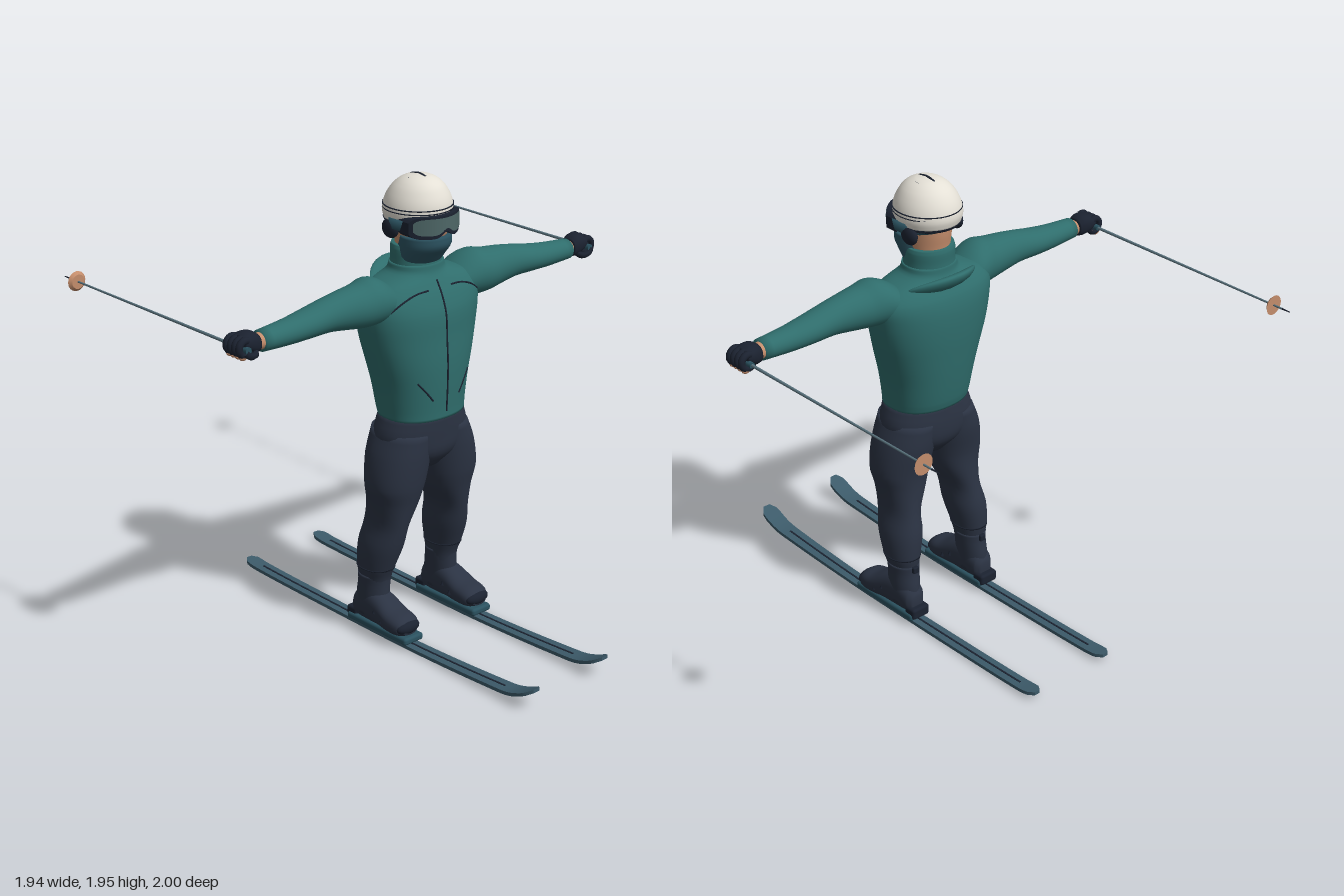
import * as THREE from 'three';
import { RoundedBoxGeometry } from 'three/addons/geometries/RoundedBoxGeometry.js';

const mat = (name, color, side = THREE.FrontSide) => {
  const m = new THREE.MeshStandardMaterial({ color, side });
  m.name = name;
  return m;
};

// Smoothly interpolated cross-section [centreU, centreV, radiusU, radiusV] at t
function sample(rows, t) {
  let i = 0;
  while (i < rows.length - 2 && t > rows[i + 1][0]) i++;
  const a = rows[i], b = rows[i + 1], p = rows[i - 1] || a, q = rows[i + 2] || b;
  const h = b[0] - a[0], f = (t - a[0]) / h, f2 = f * f, f3 = f2 * f;
  return [1, 2, 3, 4].map(k => {
    const ma = (b[k] - p[k]) / (b[0] - p[0]) * h, mb = (q[k] - a[k]) / (q[0] - a[0]) * h;
    return (2 * f3 - 3 * f2 + 1) * a[k] + (f3 - 2 * f2 + f) * ma + (3 * f2 - 2 * f3) * b[k] + (f3 - f2) * mb;
  });
}

const sgnPow = (v, e) => Math.sign(v) * Math.abs(v) ** e;

// Closed loft along an axis; u and v follow it cyclically (y: z,x  x: y,z  z: x,y)
function loft(axis, rows, n = 2, seg = 32, sub = 4) {
  const pos = [], idx = [], A = 'xyz'.indexOf(axis);
  const put = (t, u, v) => {
    const p = [0, 0, 0];
    p[A] = t; p[(A + 1) % 3] = u; p[(A + 2) % 3] = v;
    pos.push(...p);
  };
  const N = (rows.length - 1) * sub;
  for (let i = 0; i <= N; i++) {
    const r = Math.min(Math.floor(i / sub), rows.length - 2), f = i / sub - r;
    const t = rows[r][0] + (rows[r + 1][0] - rows[r][0]) * f;
    const [cu, cv, ru, rv] = sample(rows, t);
    for (let j = 0; j < seg; j++) {
      const a = j / seg * Math.PI * 2;
      put(t, cu + ru * sgnPow(Math.cos(a), 2 / n), cv + rv * sgnPow(Math.sin(a), 2 / n));
    }
  }
  for (let i = 0; i < N; i++) for (let j = 0; j < seg; j++) {
    const k = (j + 1) % seg, a = i * seg + j, b = i * seg + k;
    idx.push(a, b, b + seg, a, b + seg, a + seg);
  }
  // end caps
  for (const [row, base, top] of [[rows[0], 0, false], [rows[rows.length - 1], N * seg, true]]) {
    const c = pos.length / 3;
    put(row[0], row[1], row[2]);
    for (let j = 0; j < seg; j++) {
      const a = base + j, b = base + (j + 1) % seg;
      idx.push(c, top ? a : b, top ? b : a);
    }
  }
  const g = new THREE.BufferGeometry();
  g.setAttribute('position', new THREE.Float32BufferAttribute(pos, 3));
  g.setIndex(idx);
  g.computeVertexNormals();
  return g;
}

// Move every vertex by a rule
function warp(g, rule) {
  const p = g.attributes.position, v = new THREE.Vector3();
  for (let i = 0; i < p.count; i++) {
    rule(v.fromBufferAttribute(p, i));
    p.setXYZ(i, v.x, v.y, v.z);
  }
  g.computeVertexNormals();
  return g;
}

function mirrored(src) {
  const g = src.clone();
  if (!g.index) g.setIndex([...Array(g.attributes.position.count).keys()]);
  const ix = g.index.array;
  for (let i = 0; i < ix.length; i += 3) [ix[i + 1], ix[i + 2]] = [ix[i + 2], ix[i + 1]];
  const p = g.attributes.position, n = g.attributes.normal;
  for (let i = 0; i < p.count; i++) { p.setX(i, -p.getX(i)); n.setX(i, -n.getX(i)); }
  return g;
}

const ball = (x, y, z, rx, ry, rz) => new THREE.SphereGeometry(1, 20, 14).scale(rx, ry, rz).translate(x, y, z);
const rod = (r0, r1, z0, z1, x, y, seg = 10) =>
  new THREE.CylinderGeometry(r1, r0, z1 - z0, seg).rotateX(Math.PI / 2).translate(x, y, (z0 + z1) / 2);
const tube = (pts, r) => new THREE.TubeGeometry(
  new THREE.CatmullRomCurve3(pts.map(p => new THREE.Vector3(...p))), 24, r, 6);

export function createModel() {
  const root = new THREE.Group();
  root.name = 'skier';
  const jacket = mat('jacket teal', 0x2f6d6c), trousers = mat('trouser navy', 0x2b3343);
  const dark = mat('dark trim', 0x1b2230), white = mat('helmet white', 0xe4e0d6);
  const skin = mat('skin', 0xc48d6c), gaiterMat = mat('gaiter blue', 0x2b5260);
  const skiMat = mat('ski blue', 0x3c5a69), poleMat = mat('pole grey', 0x5a737e);
  const lensMat = mat('lens grey', 0x4e6767, THREE.DoubleSide);
  const add = (name, g, m) => {
    const mesh = new THREE.Mesh(g, m);
    mesh.name = name;
    root.add(mesh);
  };
  const pair = (name, g, m) => { add(name + 'Left', g, m); add(name + 'Right', mirrored(g), m); };

  // Jacket
  const torso = [[.96, .13, 0, .15, .185], [1, .125, 0, .156, .19], [1.1, .12, 0, .166, .207], [1.2, .115, 0, .172, .235],
    [1.3, .108, 0, .173, .264], [1.4, .105, 0, .17, .285], [1.47, .1, 0, .152, .285], [1.52, .1, 0, .125, .235],
    [1.555, .1, 0, .105, .13], [1.59, .1, 0, .1, .11]];
  add('jacketBody', loft('y', torso, 2.25, 48), jacket);
  add('collar', loft('y', [[1.54, .1, 0, .104, .115], [1.6, .1, 0, .099, .109], [1.645, .097, 0, .097, .107], [1.665, .094, 0, .09, .1]]), jacket);
  pair('sleeve', loft('x', [[.14, 1.45, .11, .05, .08], [.22, 1.473, .115, .085, .1], [.28, 1.482, .125, .097, .1],
    [.34, 1.478, .13, .09, .09], [.42, 1.479, .13, .08, .077], [.5, 1.478, .13, .068, .07], [.6, 1.468, .13, .058, .067],
    [.7, 1.46, .132, .051, .057], [.83, 1.457, .135, .043, .046]]), jacket);
  add('hood', warp(ball(0, 0, 0, .18, .05, .022).rotateX(-.75), v => {
    v.z += 2 * v.x * v.x - .032; v.y += 1.535 - .4 * v.x * v.x;
  }), jacket);

  // Seams that follow the chest surface
  const onChest = (x, y) => {
    const [cz, , rz, rx] = sample(torso, y);
    return [x, y, cz + rz * Math.max(0, 1 - Math.abs(x / rx) ** 2.25) ** (1 / 2.25)];
  };
  const seam = pts => tube(pts.map(p => onChest(...p)), .004);
  add('zip', seam([[0, .99], [0, 1.1], [0, 1.2], [0, 1.3], [0, 1.4], [0, 1.47], [0, 1.53]]), dark);
  pair('pocketZip', seam([[.07, 1.05], [.1, 1.09], [.137, 1.135]]), dark);
  pair('chestSeam', seam([[.06, 1.5], [.12, 1.495], [.18, 1.475], [.235, 1.44]]), dark);

  // Trousers
  add('hips', loft('y', [[.73, .125, 0, .08, .07], [.8, .125, 0, .135, .18], [.88, .125, 0, .147, .212], [.97, .13, 0, .147, .182]], 2.2), trousers);
  pair('leg', loft('y', [[.2, .06, .188, .065, .053], [.25, .06, .189, .073, .06], [.3, .066, .19, .086, .07],
    [.4, .085, .18, .105, .08], [.5, .107, .167, .108, .071], [.6, .122, .148, .113, .1], [.68, .13, .143, .122, .122],
    [.8, .126, .122, .138, .122], [.9, .125, .1, .14, .1]], 2.15), trousers);
  pair('cuffSeam', loft('y', [[.293, .065, .19, .086, .071], [.299, .066, .19, .087, .0715]], 2.15, 32, 1), dark);

  // Boots and bindings
  pair('bootShaft', loft('y', [[.08, .045, .195, .078, .055], [.16, .05, .193, .079, .058], [.22, .055, .19, .075, .06], [.26, .057, .19, .076, .063]]), trousers);
  pair('bootFoot', loft('z', [[-.04, .195, .09, .028, .035], [-.015, .195, .105, .05, .06], [.06, .195, .12, .058, .08],
    [.13, .196, .112, .063, .068], [.2, .198, .093, .068, .05], [.26, .198, .086, .062, .04], [.288, .198, .08, .035, .022]], 2.4), trousers);
  pair('toePiece', ball(.198, .085, .268, .06, .029, .028), dark);
  pair('heelPiece', new RoundedBoxGeometry(.09, .05, .06, 2, .012).translate(.195, .055, -.035), dark);
  pair('buckle', new RoundedBoxGeometry(.03, .03, .02, 2, .006).translate(.19, .247, -.02), dark);
  pair('bindingPlate', new RoundedBoxGeometry(.105, .032, .36, 2, .012).translate(.195, .038, .125), gaiterMat);
  for (const [y, z, w] of [[.13, .17, .066], [.155, .125, .062]])
    pair('bootStrap', tube([[.195 - w, y - .045, z], [.195 - w * .6, y, z], [.195, y + .012, z], [.195 + w * .6, y, z], [.195 + w, y - .045, z]], .008), dark);

  // Skis: straight bars shaped by width and lift rules
  const lifts = [[-.77, .02], [-.68, .01], [-.3, .003], [.2, 0], [.5, .007], [.8, .022], [.88, .03], [.95, .054], [1, .08]];
  const lift = z => sample(lifts.map(([t, y]) => [t, y, 0, 0, 0]), z)[0];
  const halfWidth = z => {
    const w = .032 + .007 * Math.max(0, z) ** 2 + .002 * Math.abs(z);
    const e = Math.min(1, Math.min(1 - z, z + .77) / .05);
    return w * (.4 + .6 * Math.sqrt(Math.max(0, 1 - (1 - e) ** 2)));
  };
  pair('ski', warp(new THREE.BoxGeometry(2, .015, 1.77, 1, 1, 70).translate(0, .0075, .115), v => {
    v.y += lift(v.z); v.x = .195 + v.x * halfWidth(v.z);
  }), skiMat);
  pair('skiGroove', warp(new THREE.BoxGeometry(.008, .003, 1.5, 1, 1, 50).translate(.195, .0155, .08), v => { v.y += lift(v.z); }), dark);

  // Poles
  pair('poleShaft', rod(.004, .0065, -.96, .1, .925, 1.452), poleMat);
  pair('poleTip', rod(.002, .004, -1, -.95, .925, 1.452), dark);
  pair('poleGrip', rod(.012, .014, .06, .185, .925, 1.452, 14), gaiterMat);
  pair('basket', rod(.042, .03, -.917, -.905, .925, 1.452, 20), skin);

  // Hands closed round the grips
  pair('wrist', loft('x', [[.81, 1.457, .135, .034, .036], [.865, 1.455, .13, .032, .034]]), skin);
  pair('glovePalm', loft('x', [[.848, 1.456, .13, .036, .038], [.87, 1.462, .128, .044, .046], [.9, 1.468, .125, .04, .05], [.93, 1.472, .125, .026, .046]], 2.4), dark);
  for (let i = 0; i < 4; i++) {
    const z = .088 + i * .025;
    pair('gloveFinger', new THREE.TorusGeometry(.029, .0145, 10, 20, 4.6).rotateZ(-2.6).translate(.925, 1.458, z), dark);
    pair('fingertip', ball(.935, 1.424, z, .019, .013, .012), skin);
  }
  pair('gloveThumb', tube([[.87, 1.44, .15], [.885, 1.425, .172], [.915, 1.428, .182], [.935, 1.445, .178]], .014), dark);

  // Head, gaiter and helmet
  add('head', loft('y', [[1.6, .085, 0, .07, .075], [1.66, .11, 0, .095, .09], [1.72, .125, 0, .118, .1], [1.79, .125, 0, .12, .108]]), skin);
  add('gaiter', loft('y', [[1.59, .105, 0, .088, .098], [1.63, .13, 0, .095, .104], [1.67, .15, 0, .105, .107], [1.71, .152, 0, .105, .105]]), gaiterMat);
  const shell = [[1.765, .108, 0, .136, .132], [1.8, .108, 0, .144, .139], [1.84, .11, 0, .138, .132], [1.88, .112, 0, .119, .113],
    [1.912, .115, 0, .092, .086], [1.934, .115, 0, .052, .048], [1.942, .115, 0, .004, .004]];
  add('helmet', loft('y', shell, 2, 40), white);
  for (const y of [1.808, 1.822])
    add('helmetLine', loft('y', [[y, .11, 0, .1445, .1395], [y + .004, .11, 0, .1445, .1395]], 2, 40, 1), dark);
  add('helmetRim', loft('y', [[1.756, .108, 0, .133, .13], [1.768, .108, 0, .14, .136]], 2, 40, 1), dark);
  for (const x of [-.05, 0, .05]) {
    const lowered = x ? .013 : 0;
    add('helmetVent', tube([[x, 1.912 - lowered, .04], [x, 1.933 - lowered, .075], [x, 1.94 - lowered, .115], [x, 1.933 - lowered, .155]], .006), dark);
  }
  pair('earPad', ball(.12, 1.735, .08, .022, .04, .044), dark);

  // Goggles: curved round the face with a nose notch
  const wrap = (g, hw, y0, y1, z0) => warp(g, v => {
    const s = v.x, x = s * hw, round = Math.sqrt(1 - .75 * Math.abs(s) ** 8);
    const low = y0 + .024 * Math.exp(-((x / .028) ** 2)), mid = (y0 + y1) / 2;
    const y = low + (y1 - low) * (v.y + .5);
    v.set(x, mid + (y - mid) * round, z0 + v.z - 4 * x * x);
  });
  add('goggleFrame', wrap(new THREE.BoxGeometry(2, 1, .06, 32, 4, 1), .136, 1.716, 1.806, .245), dark);
  add('goggleLens', wrap(new THREE.PlaneGeometry(2, 1, 32, 6), .125, 1.731, 1.799, .279), lensMat);
  add('goggleStrap', loft('y', [[1.742, .128, 0, .122, .139], [1.785, .128, 0, .122, .144]], 2, 40, 1), gaiterMat);
  return root;
}
